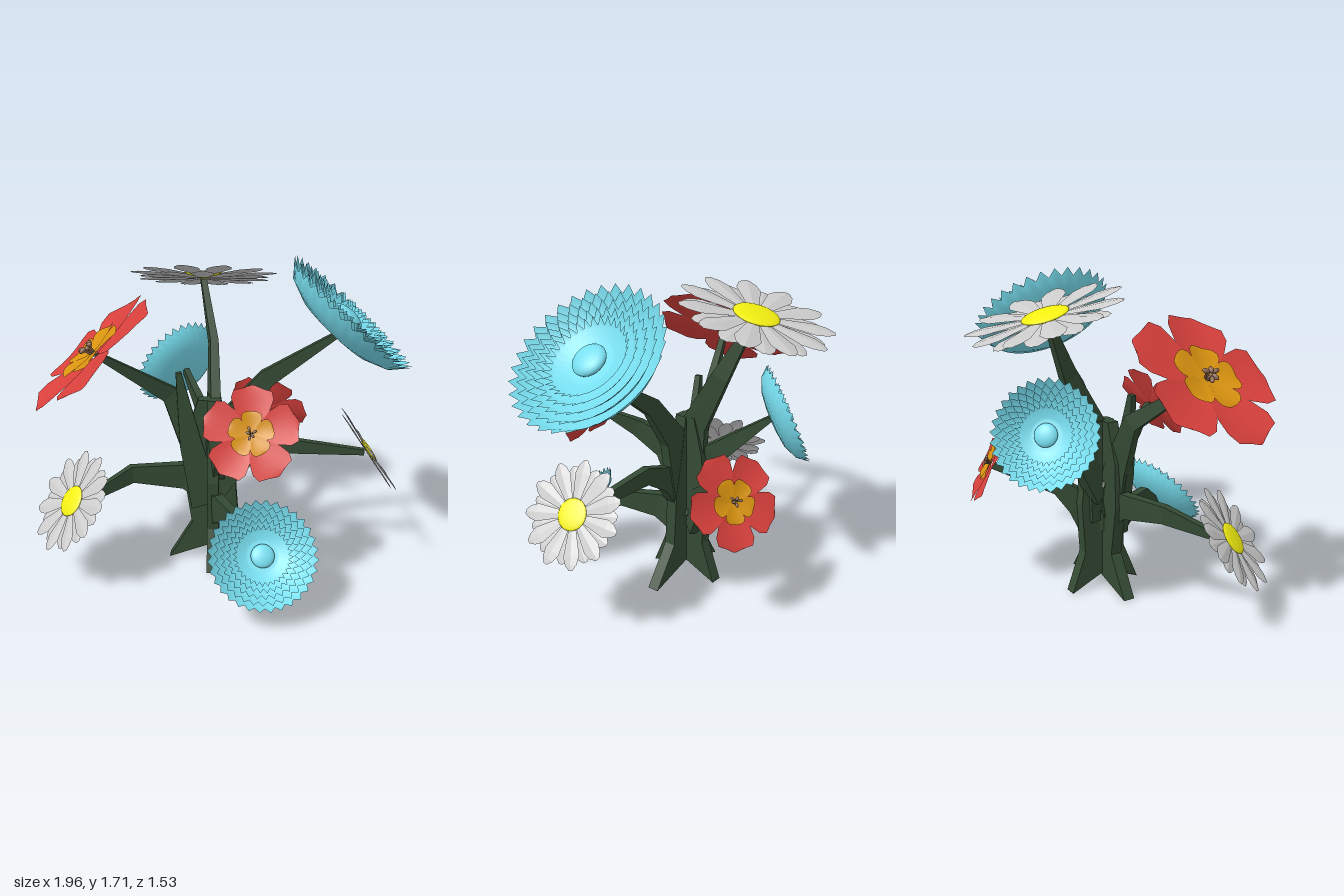
import * as THREE from 'three';
import { mergeGeometries } from 'three/addons/utils/BufferGeometryUtils.js';

const mat = (color, flatShading = true) =>
  new THREE.MeshStandardMaterial({ color, flatShading, side: THREE.DoubleSide });
const GREEN = mat(0x344a34), GREY = mat(0xcccccc), YELLOW = mat(0xf2ee12, false), RED = mat(0xd8403c, false);
const ORANGE = mat(0xd9930f, false), BLUE = mat(0x77ddee, false), BROWN = mat(0x8f6a52, false);

function mesh(name, geometry, material) {
  const m = new THREE.Mesh(geometry, material);
  m.name = name;
  return m;
}

// Skin over rows of points; closed joins the last column to the first
function loft(rows, closed = false, capped = false) {
  const n = rows[0].length, index = [];
  for (let i = 0; i + 1 < rows.length; i++) {
    for (let j = 0; j < (closed ? n : n - 1); j++) {
      const k = (j + 1) % n, a = i * n + j, b = i * n + k;
      index.push(a, b, a + n, b, b + n, a + n);
    }
  }
  if (capped) {
    const t = (rows.length - 1) * n;
    for (let j = 1; j + 1 < n; j++) index.push(0, j + 1, j, t, t + j, t + j + 1);
  }
  const g = new THREE.BufferGeometry();
  g.setAttribute('position', new THREE.Float32BufferAttribute(rows.flat(2), 3));
  g.setIndex(index);
  g.computeVertexNormals();
  return g;
}

// One petal along +x from [distance, half width, height]; cup lifts its sides
function petal(profile, cup, cols) {
  return loft(profile.map(([x, w, h]) => Array.from({ length: cols + 1 }, (_, j) => {
    const s = (j / cols) * 2 - 1;
    return [x - (x > 0.9 && cols > 2 ? 0.06 * s * s : 0), h + cup * w * s * s, w * s];
  })));
}

function petalRing(profile, count, phase, cup, cols) {
  return mergeGeometries(Array.from({ length: count }, (_, i) =>
    petal(profile, cup, cols).rotateY(-phase - (i * Math.PI * 2) / count)));
}

const dome = (r, h, y) => new THREE.SphereGeometry(r, 24, 12).scale(1, h / r, 1).translate(0, y, 0);

// Daisy: two rings of creased, blunt-tipped petals and a domed centre
function daisy() {
  const g = new THREE.Group();
  const upper = [[0.12, 0.05, 0], [0.75, 0.165, 0.04], [0.9, 0.12, 0.04], [1, 0.04, 0.03]];
  const lower = upper.map(([x, w, h]) => [x * 0.9, w, h - 0.03 - x * 0.04]);
  g.add(mesh('upperPetals', petalRing(upper, 11, 0.1, -0.15, 2), GREY));
  g.add(mesh('lowerPetals', petalRing(lower, 11, 0.1 + Math.PI / 11, -0.15, 2), GREY));
  g.add(mesh('daisyCentre', dome(0.3, 0.045, 0.015), YELLOW));
  return g;
}

// Red blossom: five broad petals, an orange inner ring and bent stamens
function redBlossom() {
  const g = new THREE.Group();
  const outer = [[0.05, 0.06, 0], [0.25, 0.2, 0], [0.5, 0.36, 0.02], [0.72, 0.43, 0.04],
    [0.88, 0.39, 0.05], [0.97, 0.27, 0.05], [1.01, 0.12, 0.04]];
  const inner = outer.map(([x, w, h]) => [x * 0.46, w * 0.5, h * 0.8 + 0.05]);
  g.add(mesh('outerPetals', petalRing(outer, 5, 0, 0.12, 6), RED));
  g.add(mesh('innerPetals', petalRing(inner, 5, 0, 0.15, 6), ORANGE));
  for (let i = 0; i < 5; i++) {
    const a = i * 2.4, c = Math.cos(a), s = Math.sin(a), r = 0.05 + 0.015 * i;
    const curve = new THREE.QuadraticBezierCurve3(new THREE.Vector3(c * 0.02, 0.02, s * 0.02),
      new THREE.Vector3(c * 0.04, 0.12, s * 0.04), new THREE.Vector3(c * r, 0.16, s * r));
    g.add(mesh('stamen', new THREE.TubeGeometry(curve, 6, 0.014, 6), BROWN));
    const tip = mesh('stamenTip', new THREE.SphereGeometry(0.03, 10, 8).scale(1.7, 1, 1), BROWN);
    tip.position.set(c * r, 0.16, s * r);
    tip.rotation.y = -a;
    g.add(tip);
  }
  return g;
}

// Blue blossom: nested deep bowls with zigzag rims around a smooth disc
function blueBlossom() {
  const g = new THREE.Group(), teeth = 32;
  for (let k = 0; k < 5; k++) {
    const R = 1.02 - k * 0.115, base = -0.36 + k * 0.05;
    const profile = [[0.001, base], [0.27, base], [0.56 * R, base * 0.9], [0.83 * R, base * 0.58], [R, 0]];
    const rows = profile.map(([r, y], i) => Array.from({ length: teeth * 2 }, (_, j) => {
      const a = ((j + k * 0.6) * Math.PI) / teeth, dip = i === 4 && j % 2 ? 0.08 : 0;
      return [Math.cos(a) * (r - dip), y - dip, -Math.sin(a) * (r - dip)];
    }));
    g.add(mesh('petalBowl', loft(rows, true), BLUE));
  }
  g.add(mesh('blossomDisc', dome(0.22, 0.09, -0.1), BLUE));
  return g;
}

// Trunk: plus-shaped section with four fins that flare into feet
function trunk() {
  const t = 0.032, cx = -0.04, cz = -0.01;
  // height, then fin length to the right, front, left and back of the page
  const levels = [[0, 0.29, 0.2, 0.25, 0.22], [0.22, 0.14, 0.105, 0.12, 0.14],
    [0.5, 0.12, 0.11, 0.16, 0.16], [0.75, 0.07, 0.07, 0.15, 0.13], [0.95, 0.04, 0.04, 0.08, 0.08]];
  const rows = levels.map(([y, ...arms]) => arms.flatMap((len, q) => {
    const c = Math.cos((q * Math.PI) / 2), s = Math.sin((q * Math.PI) / 2);
    const at = (u, v, h) => [cx + u * c - v * s, h, cz + u * s + v * c];
    return [at(len, -t, y), at(len, t, y), at(t, t, y === 0 ? 0.08 : y)];
  }).reverse());
  return mesh('trunk', loft(rows, true, true), GREEN);
}

// Stem: upright plate swept through points, tapering towards the flower
function stem(...points) {
  const P = points.map((p) => new THREE.Vector3(...p)), last = P.length - 1;
  const run = P[last].clone().sub(P[0]).setY(0).normalize();
  const side = new THREE.Vector3(-run.z, 0, run.x);
  const rows = P.map((p, i) => {
    const dir = P[Math.min(i + 1, last)].clone().sub(P[Math.max(i - 1, 0)]).normalize();
    const up = side.clone().cross(dir).normalize();
    const w = 0.034 - (0.018 * i) / last, h = 0.085 - 0.07 * (i / last) ** 1.5;
    return [[1, 1], [-1, 1], [-1, -1], [1, -1]].map(([a, b]) =>
      p.clone().addScaledVector(side, a * w).addScaledVector(up, b * h).toArray());
  });
  return mesh('stem', loft(rows, true, true), GREEN);
}

function flower(make, name, centre, facing, radius, spin = 0) {
  const f = make();
  f.name = name;
  f.position.set(...centre);
  f.quaternion.setFromUnitVectors(new THREE.Vector3(0, 1, 0), new THREE.Vector3(...facing).normalize());
  f.rotateY(-spin);
  f.scale.setScalar(radius);
  return f;
}

export function createModel() {
  const model = new THREE.Group();
  model.name = 'flowerBouquet';
  model.add(trunk());

  // Daisies
  model.add(stem([-0.04, 0.4, -0.04], [-0.04, 0.9, -0.07], [-0.05, 1.2, -0.23], [-0.11, 1.51, -0.38]));
  model.add(flower(daisy, 'topDaisy', [-0.11, 1.53, -0.39], [0, 0.95, -0.3], 0.4));
  model.add(stem([-0.05, 0.42, 0], [-0.2, 0.51, 0.01], [-0.48, 0.54, 0.07], [-0.74, 0.45, 0.26]));
  model.add(flower(daisy, 'rightDaisy', [-0.77, 0.47, 0.27], [-0.64, 0.6, 0.48], 0.28));
  model.add(stem([-0.04, 0.45, 0], [0.1, 0.62, 0], [0.28, 0.7, 0], [0.77, 0.67, 0.02]));
  model.add(flower(daisy, 'leftDaisy', [0.79, 0.68, 0.02], [0.82, 0.55, -0.12], 0.265));

  // Blue blossoms
  model.add(stem([-0.02, 0.4, -0.01], [0.07, 0.85, -0.01], [0.24, 1.07, -0.01], [0.6, 1.32, 0.01]));
  model.add(flower(blueBlossom, 'upperBlueBlossom', [0.67, 1.44, 0.01], [0.66, 0.75, 0], 0.4));
  model.add(stem([-0.05, 0.55, -0.04], [-0.08, 0.75, -0.17], [-0.22, 0.97, -0.43]));
  model.add(flower(blueBlossom, 'backBlueBlossom', [-0.28, 1, -0.5], [-0.63, 0.38, -0.66], 0.27));
  model.add(stem([-0.04, 0.3, 0], [0, 0.38, 0.15], [0.1, 0.4, 0.35], [0.2, 0.3, 0.52]));
  model.add(flower(blueBlossom, 'frontBlueBlossom', [0.23, 0.36, 0.59], [0.1, 0.6, 0.77], 0.27));

  // Red blossoms
  model.add(stem([-0.07, 0.35, 0], [-0.15, 0.7, 0], [-0.27, 0.98, 0.01], [-0.62, 1.24, 0.16]));
  model.add(flower(redBlossom, 'upperRedBlossom', [-0.62, 1.24, 0.18], [-0.65, 0.74, 0.12], 0.4, 0.3));
  model.add(stem([-0.04, 0.55, 0], [-0.02, 0.74, 0.1], [0.05, 0.84, 0.25], [0.15, 0.93, 0.41]));
  model.add(flower(redBlossom, 'frontRedBlossom', [0.16, 0.93, 0.43], [0.05, 0.5, 0.86], 0.24, 0.94));
  model.add(stem([-0.04, 0.32, -0.05], [0, 0.49, -0.14], [0.06, 0.59, -0.24], [0.26, 0.7, -0.53]));
  model.add(flower(redBlossom, 'backRedBlossom', [0.26, 0.71, -0.53], [0.35, 0.45, -0.82], 0.24, 0.3));

  // Bare stem without a flower
  model.add(stem([-0.08, 0.35, 0.02], [-0.16, 0.7, 0.03], [-0.22, 1.11, 0.04]));
  return model;
}
